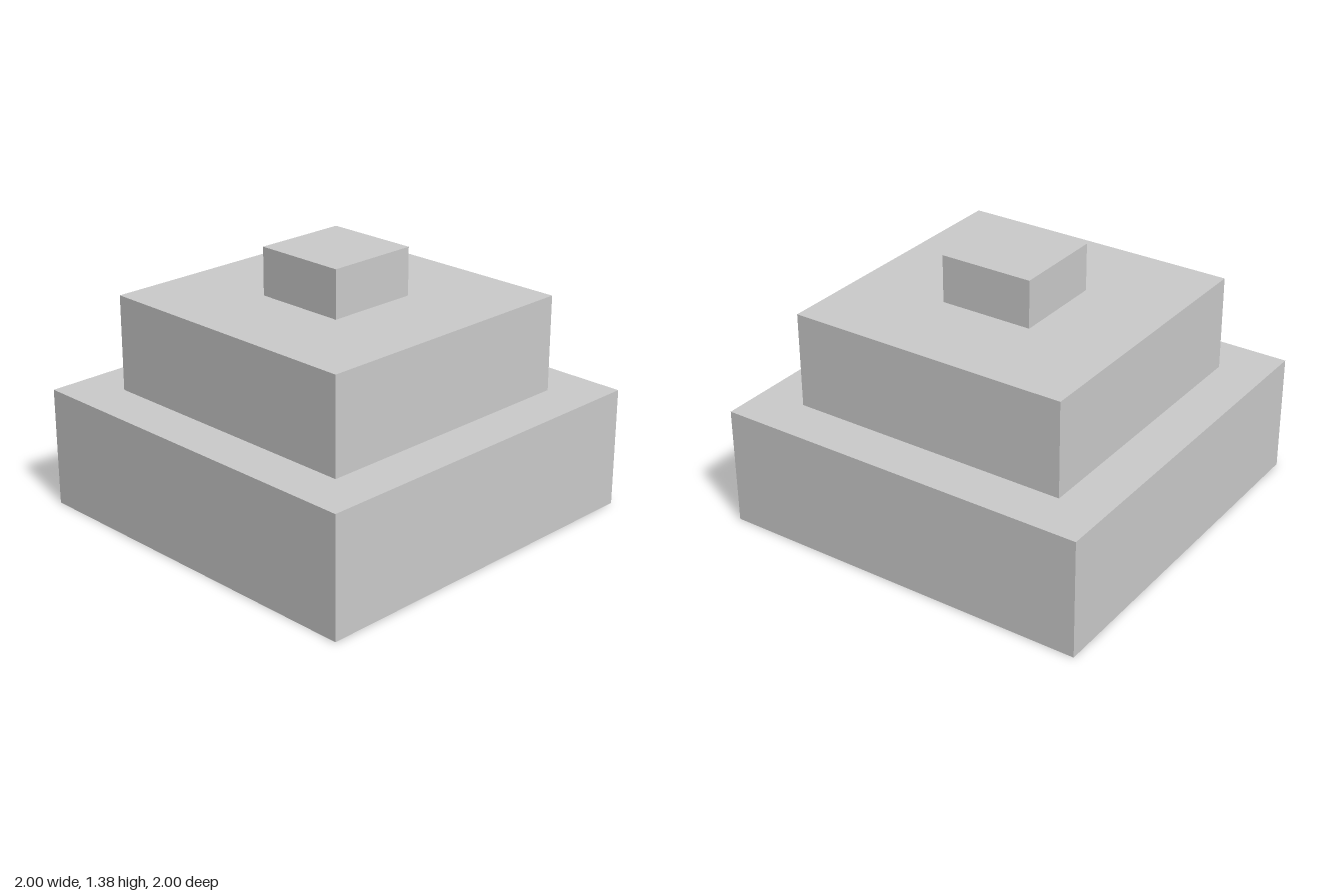
import * as THREE from 'three';

// Square tiers stacked from the ground up
const TIERS = [
  { name: 'baseTier', width: 2, height: 0.625 },
  { name: 'middleTier', width: 1.5, height: 0.5 },
  { name: 'topBlock', width: 0.5, height: 0.25 },
];

export function createModel() {
  const model = new THREE.Group();
  model.name = 'steppedPyramid';
  const material = new THREE.MeshStandardMaterial({ color: 0xcccccc, flatShading: true });

  let y = 0;
  for (const { name, width, height } of TIERS) {
    const tier = new THREE.Mesh(new THREE.BoxGeometry(width, height, width), material);
    tier.name = name;
    tier.position.y = y + height / 2;
    model.add(tier);
    y += height;
  }
  return model;
}
